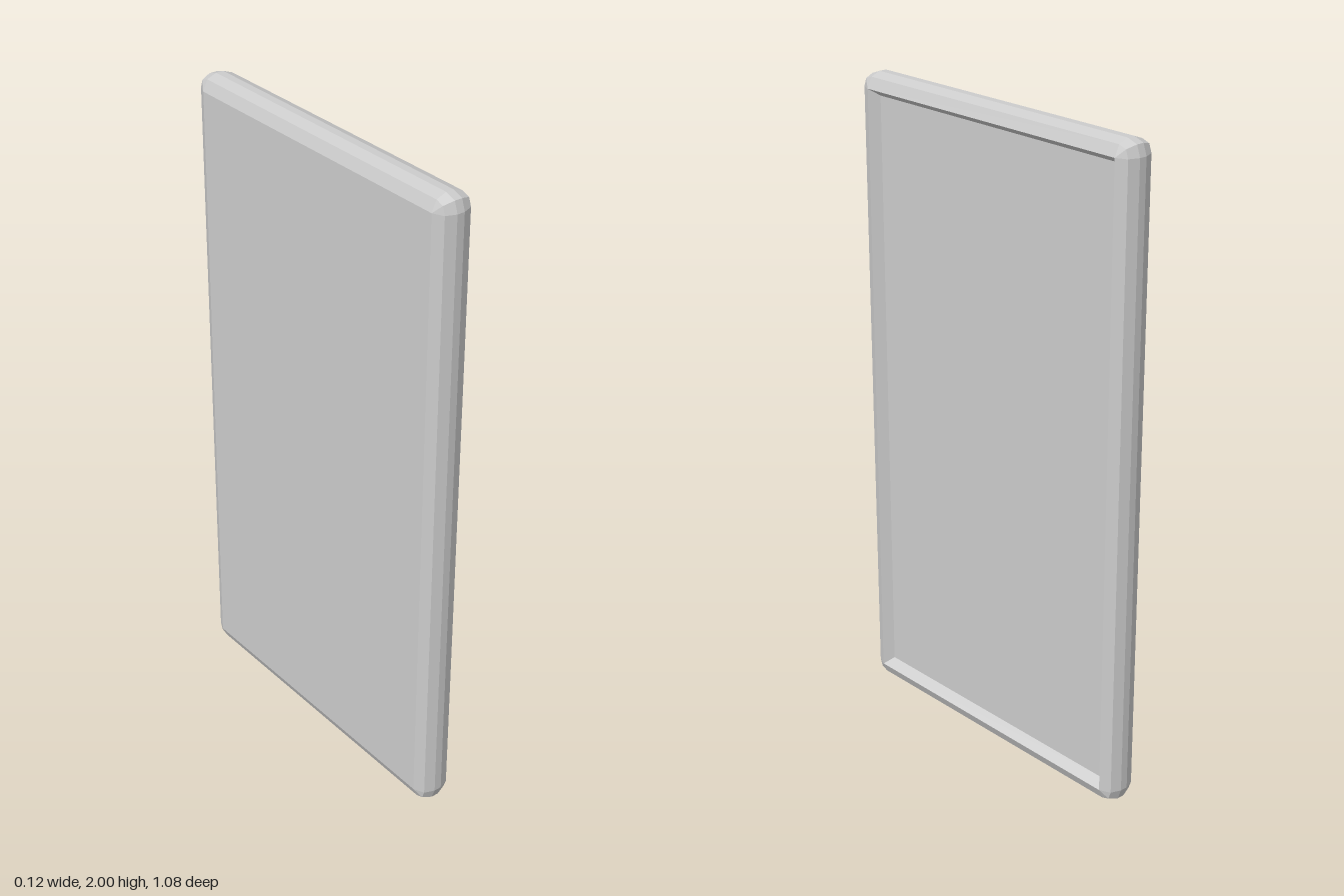
import * as THREE from 'three';

const HALF_Z = 0.495, HALF_Y = 0.955, MID_Y = 1;

// Closed outline in the plane at x, offset by d from the rim rectangle.
// Outward offsets get bevelled corners, inward ones stay square.
function ring(x, d) {
  const k = 0.74 * d;
  const corner = d > 0 ? [[d, 0], [k, k], [0, d]] : [[d, d], [d, d], [d, d]];
  const points = [];
  for (const [sz, sy] of [[-1, 1], [1, 1], [1, -1], [-1, -1]]) {
    const order = sz * sy < 0 ? corner : [...corner].reverse();
    for (const [a, b] of order) {
      points.push(new THREE.Vector3(x, MID_Y + sy * (HALF_Y + b), sz * (HALF_Z + a)));
    }
  }
  return points;
}

// All points at the centre, used to close an end
const centre = (x) => Array.from({ length: 12 }, () => new THREE.Vector3(x, MID_Y, 0));

// Faceted skin through successive rings, leaving out empty triangles
function skin(name, rings, material) {
  const positions = [];
  const triangle = new THREE.Triangle();
  const add = (a, b, c) => {
    if (triangle.set(a, b, c).getArea() < 1e-9) return;
    for (const p of [a, b, c]) positions.push(p.x, p.y, p.z);
  };
  for (let i = 0; i < rings.length - 1; i++) {
    const r = rings[i], s = rings[i + 1];
    for (let j = 0; j < r.length; j++) {
      const n = (j + 1) % r.length;
      add(r[j], r[n], s[n]);
      add(r[j], s[n], s[j]);
    }
  }
  const geometry = new THREE.BufferGeometry();
  geometry.setAttribute('position', new THREE.Float32BufferAttribute(positions, 3));
  geometry.computeVertexNormals();
  const mesh = new THREE.Mesh(geometry, material);
  mesh.name = name;
  return mesh;
}

export function createModel() {
  const group = new THREE.Group();
  group.name = 'framedPanel';
  const material = new THREE.MeshStandardMaterial({ color: 0xcccccc, flatShading: true });

  const backRim = ring(-0.058, 0);
  const frontRim = ring(0.058, 0);
  const floorEdge = ring(0.028, -0.021);

  // Flat back
  group.add(skin('backPanel', [centre(-0.058), backRim], material));

  // Bevelled frame, ending with the sloped wall of the recess
  group.add(skin('frame', [
    backRim, ring(-0.043, 0.033), ring(-0.012, 0.045),
    ring(0.012, 0.045), ring(0.043, 0.033), frontRim, floorEdge,
  ], material));

  // Recessed face
  group.add(skin('recessedPanel', [floorEdge, centre(0.028)], material));
  return group;
}
